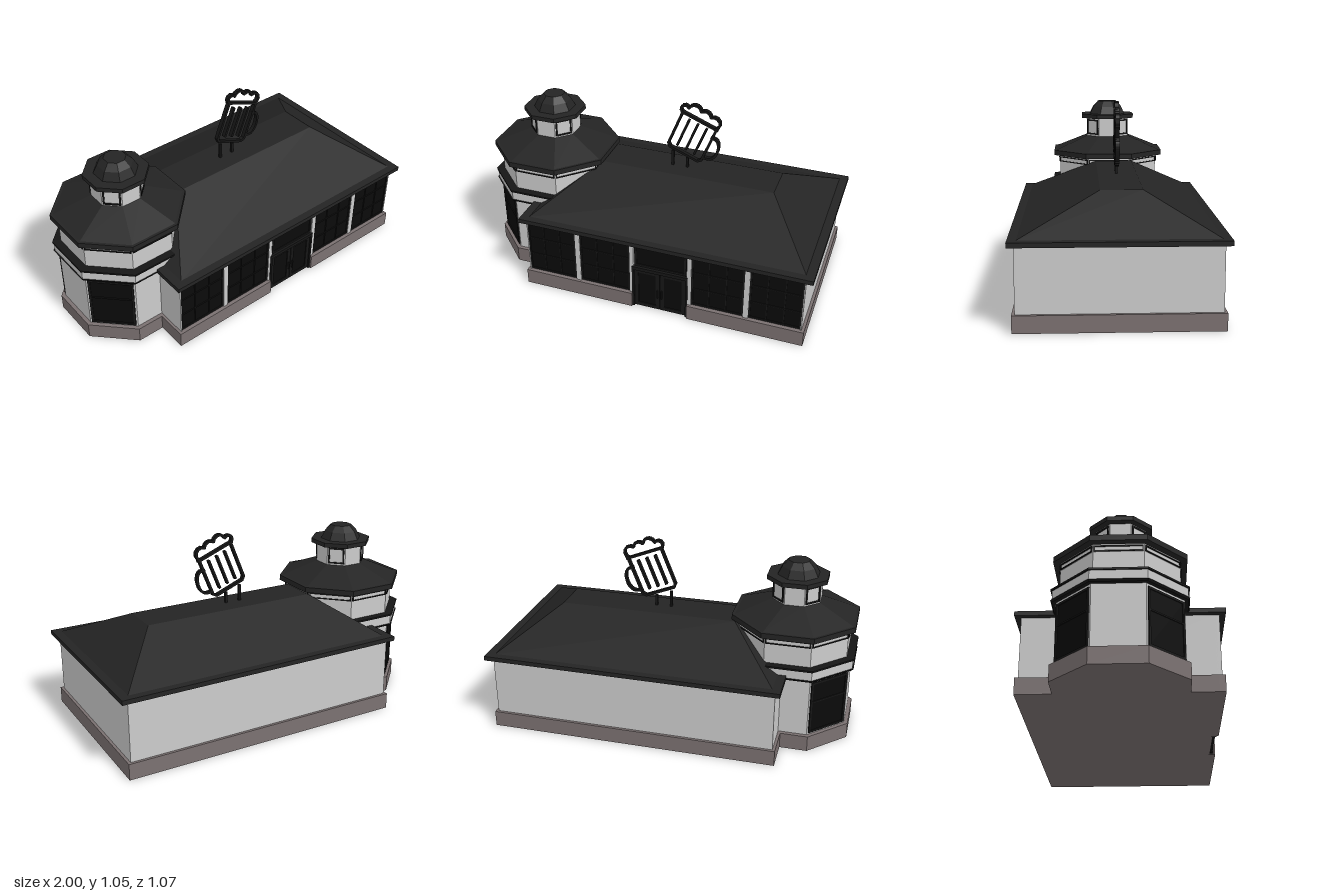
import * as THREE from 'three';

const mat = (color) => new THREE.MeshStandardMaterial({ color, flatShading: true });

export function createModel() {
  const wall = mat(0xcccccc), plinth = mat(0x7b7171), roof = mat(0x242424);
  const trim = mat(0x161616), glass = mat(0x0a0a0a);
  const model = new THREE.Group();

  const group = (name, parent = model) => {
    const g = new THREE.Group();
    g.name = name;
    parent.add(g);
    return g;
  };
  const add = (name, geo, material, parent) => {
    const m = new THREE.Mesh(geo, material);
    m.name = name;
    parent.add(m);
    return m;
  };
  // Box given by its limits on each axis
  const box = (name, x0, x1, y0, y1, z0, z1, material, parent) => {
    const m = add(name, new THREE.BoxGeometry(x1 - x0, y1 - y0, z1 - z0), material, parent);
    m.position.set((x0 + x1) / 2, (y0 + y1) / 2, (z0 + z1) / 2);
    return m;
  };
  // Pane with a border and a grid of glazing bars, facing +z at depth z
  const framedPanel = (name, x0, x1, y0, y1, z, cols, rows, pane, parent, t = 0.01) => {
    const g = group(name, parent);
    box('pane', x0, x1, y0, y1, z - 0.01, z + 0.003, pane, g);
    for (let i = 0; i <= cols; i++) {
      const w = i === 0 || i === cols ? t : t / 2;
      const x = x0 + w / 2 + (x1 - x0 - w) * i / cols;
      box('upright', x - w / 2, x + w / 2, y0, y1, z, z + 0.008, trim, g);
    }
    for (let j = 0; j <= rows; j++) {
      const w = j === 0 || j === rows ? t : t / 2;
      const y = y0 + w / 2 + (y1 - y0 - w) * j / rows;
      box('crossbar', x0, x1, y - w / 2, y + w / 2, z, z + 0.008, trim, g);
    }
    return g;
  };

  // Main hall
  const hall = group('hall');
  box('hallWalls', -0.63, 0.96, 0.02, 0.43, -0.505, 0.49, wall, hall);
  box('plinthBack', -0.645, 0.976, 0, 0.09, -0.52, 0.488, plinth, hall);
  box('plinthFrontLeft', 0.325, 0.976, 0, 0.09, 0.48, 0.52, plinth, hall);
  box('plinthFrontRight', -0.645, 0.005, 0, 0.09, 0.48, 0.52, plinth, hall);

  // Shop front: windows between pillars
  const bays = [[-0.627, -0.335], [-0.308, -0.01], [0.345, 0.64], [0.668, 0.957]];
  for (const [x0, x1] of bays) framedPanel('shopWindow', x0, x1, 0.095, 0.425, 0.494, 3, 3, glass, hall);
  const pillars = [[-0.63, -0.625], [-0.335, -0.308], [-0.01, 0.012], [0.32, 0.345], [0.64, 0.668], [0.955, 0.96]];
  for (const [x0, x1] of pillars) box('pillar', x0, x1, 0.05, 0.43, 0.48, 0.505, wall, hall);

  // Entrance: transom light above double doors
  const entrance = group('entrance');
  framedPanel('transomWindow', 0.018, 0.316, 0.28, 0.412, 0.494, 1, 1, glass, entrance, 0.012);
  box('doorLintel', 0.005, 0.325, 0.255, 0.275, 0.48, 0.512, trim, entrance);
  for (const side of [-1, 1]) {
    const c = 0.165 + side * 0.075;
    framedPanel('door', c - 0.073, c + 0.073, 0.005, 0.256, 0.494, 1, 1, glass, entrance, 0.022);
    box('doorHandle', 0.165 + side * 0.012 - 0.003, 0.165 + side * 0.012 + 0.003, 0.09, 0.14, 0.5, 0.514, trim, entrance);
    box('doorPost', 0.165 + side * 0.155 - 0.006, 0.165 + side * 0.155 + 0.006, 0, 0.27, 0.48, 0.51, trim, entrance);
  }

  // Hipped roof with a flat top
  box('hallEaves', -0.66, 1, 0.427, 0.452, -0.537, 0.537, roof, hall);
  const hip = new THREE.BoxGeometry(1, 1, 1);
  const p = hip.attributes.position;
  for (let i = 0; i < p.count; i++) {
    const top = p.getY(i) > 0, right = p.getX(i) > 0, front = p.getZ(i) > 0;
    if (top) p.setXYZ(i, right ? 0.675 : -0.335, 0.642, front ? 0.087 : -0.13);
    else p.setXYZ(i, right ? 0.955 : -0.615, 0.45, front ? 0.497 : -0.497);
  }
  hip.computeVertexNormals();
  add('hallRoof', hip, roof, hall);

  // Octagonal corner tower; sizes are centre-to-flat distances
  const tower = group('tower');
  tower.position.set(-0.655, 0, 0.008);
  const oct = (name, bottom, top, y0, y1, material) => {
    const k = 1 / Math.cos(Math.PI / 8);
    const geo = new THREE.CylinderGeometry(top * k, bottom * k, y1 - y0, 8);
    geo.rotateY(Math.PI / 8);
    geo.translate(0, (y0 + y1) / 2, 0);
    add(name, geo, material, tower);
  };
  oct('towerPlinth', 0.34, 0.34, 0, 0.09, plinth);
  oct('towerLowerWalls', 0.318, 0.318, 0.05, 0.44, wall);
  oct('lowerLedge', 0.338, 0.345, 0.427, 0.438, trim);
  oct('ledgeBand', 0.338, 0.338, 0.438, 0.49, wall);
  oct('upperLedge', 0.345, 0.345, 0.489, 0.499, trim);
  oct('towerUpperWalls', 0.302, 0.302, 0.49, 0.66, wall);
  oct('towerEaves', 0.338, 0.338, 0.655, 0.686, roof);
  oct('towerRoof', 0.325, 0.13, 0.685, 0.77, roof);
  oct('cupolaWalls', 0.13, 0.13, 0.76, 0.89, wall);
  oct('cupolaEaves', 0.163, 0.163, 0.884, 0.909, roof);
  oct('domeLower', 0.11, 0.088, 0.908, 0.955, roof);
  oct('domeUpper', 0.088, 0.056, 0.955, 0.989, roof);

  // Panels on every tower face, windows on the diagonal faces
  for (let i = 0; i < 8; i++) {
    const face = group('towerFace', tower);
    face.rotation.y = i * Math.PI / 4;
    framedPanel('friezePanel', -0.121, 0.121, 0.613, 0.645, 0.301, 1, 1, wall, face, 0.006);
    if (i % 2) {
      framedPanel('cupolaWindow', -0.047, 0.047, 0.78, 0.875, 0.129, 1, 1, wall, face, 0.009);
      framedPanel('towerWindow', -0.122, 0.122, 0.1, 0.412, 0.317, 1, 1, glass, face, 0.012);
      box('towerWindowBar', -0.122, 0.122, 0.286, 0.294, 0.317, 0.325, trim, face);
    }
  }

  // Rooftop sign: outline of a tilted foaming mug on two posts
  const sign = group('mugSign');
  box('signPostLeft', 0.053, 0.067, 0.62, 0.735, -0.025, -0.01, trim, sign);
  box('signPostRight', 0.139, 0.153, 0.62, 0.705, -0.025, -0.01, trim, sign);
  const mug = group('mug', sign);
  mug.position.set(0.169, 0.838, -0.016);
  mug.rotation.z = -0.38;
  const bar = (name, a, b, w = 0.014) => {
    const dx = b[0] - a[0], dy = b[1] - a[1];
    const m = add(name, new THREE.BoxGeometry(Math.hypot(dx, dy) + w * 0.6, w, 0.024), trim, mug);
    m.position.set((a[0] + b[0]) / 2, (a[1] + b[1]) / 2, 0);
    m.rotation.z = Math.atan2(dy, dx);
  };
  const stroke = (name, pts) => {
    for (let i = 1; i < pts.length; i++) bar(name, pts[i - 1], pts[i]);
  };
  stroke('mugOutline', [[-0.105, 0.12], [-0.105, -0.1], [-0.088, -0.118], [0.088, -0.118], [0.105, -0.1], [0.105, 0.12]]);
  bar('mugRim', [-0.112, 0.122], [0.112, 0.122]);
  for (const x of [-0.054, 0, 0.054]) bar('mugRib', [x, -0.085], [x, 0.09], 0.013);
  const handle = new THREE.CatmullRomCurve3([[0.1, 0.062], [0.135, 0.06], [0.158, 0.03], [0.165, -0.03],
    [0.145, -0.068], [0.105, -0.08]].map(([x, y]) => new THREE.Vector3(x, y, 0)));
  stroke('mugHandle', handle.getPoints(14).map((v) => [v.x, v.y]));

  // Foam: a row of bumps over the rim
  const foam = [];
  for (const [cx, cy, r, from, to] of [[-0.098, 0.145, 0.024, 4.2, 0.9], [-0.045, 0.162, 0.036, 2.6, 0.5],
    [0.018, 0.16, 0.034, 2.5, 0.6], [0.076, 0.15, 0.036, 2.4, -0.9]]) {
    for (let i = 0; i <= 6; i++) {
      const a = from + (to - from) * i / 6;
      foam.push([cx + r * Math.cos(a), cy + r * Math.sin(a)]);
    }
  }
  stroke('mugFoam', foam);

  return model;
}
